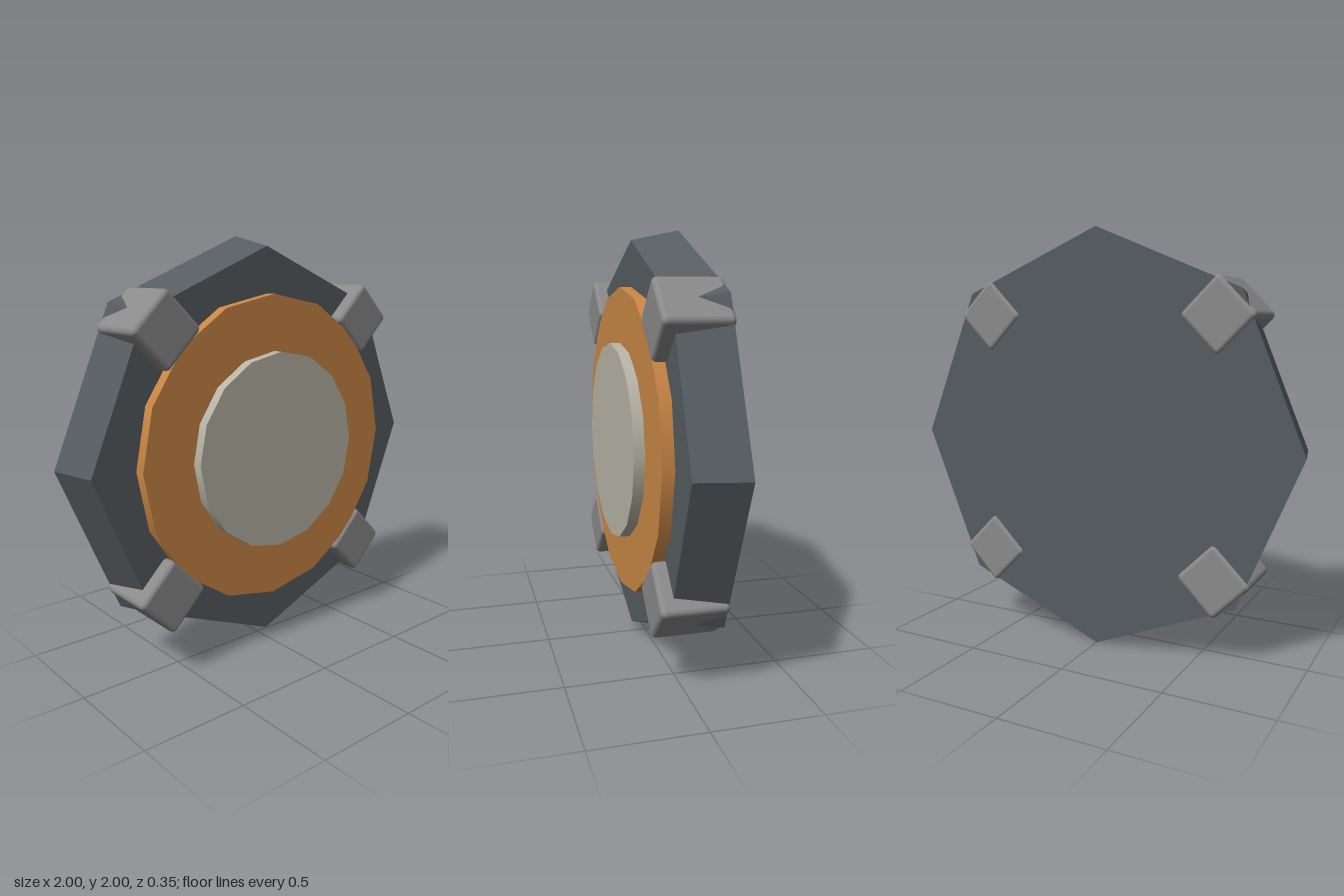
import * as THREE from 'three';
import { RoundedBoxGeometry } from 'three/addons/geometries/RoundedBoxGeometry.js';

const material = (name, color, flatShading = false) => {
  const m = new THREE.MeshStandardMaterial({ color, flatShading });
  m.name = name;
  return m;
};

export function createModel() {
  const model = new THREE.Group();
  model.name = 'octagonalHatch';

  const slate = material('dark slate', 0x565c60, true);
  const copper = material('copper orange', 0xc98745);
  const cream = material('warm grey', 0xb8b4a6);
  const steel = material('steel grey', 0x8a8a8b);

  // Prism lying along z, with a vertex straight up
  const disc = (name, frontRadius, backRadius, sides, back, front, mat) => {
    const geometry = new THREE.CylinderGeometry(frontRadius, backRadius, front - back, sides);
    geometry.rotateX(Math.PI / 2);
    const mesh = new THREE.Mesh(geometry, mat);
    mesh.name = name;
    mesh.position.set(0, 1, (front + back) / 2);
    model.add(mesh);
  };

  // Tapered octagonal plate and the two stepped discs set into it
  disc('basePlate', 0.95, 1, 8, -0.163, 0.07, slate);
  disc('outerDisc', 0.735, 0.735, 16, -0.155, 0.125, copper);
  disc('centreDisc', 0.472, 0.472, 16, -0.15, 0.175, cream);

  // Rounded clamps on the diagonals; the plate corners poke through them
  const clampGeometry = new RoundedBoxGeometry(0.256, 0.256, 0.31, 2, 0.025);
  for (const [side, sx] of [['Left', 1], ['Right', -1]]) {
    for (const [level, sy] of [['upper', 1], ['lower', -1]]) {
      const clamp = new THREE.Mesh(clampGeometry, steel);
      clamp.name = `${level}${side}Clamp`;
      clamp.position.set(sx * 0.597, 1 + sy * 0.597, -0.02);
      clamp.rotation.z = Math.PI / 4;
      model.add(clamp);
    }
  }

  return model;
}
